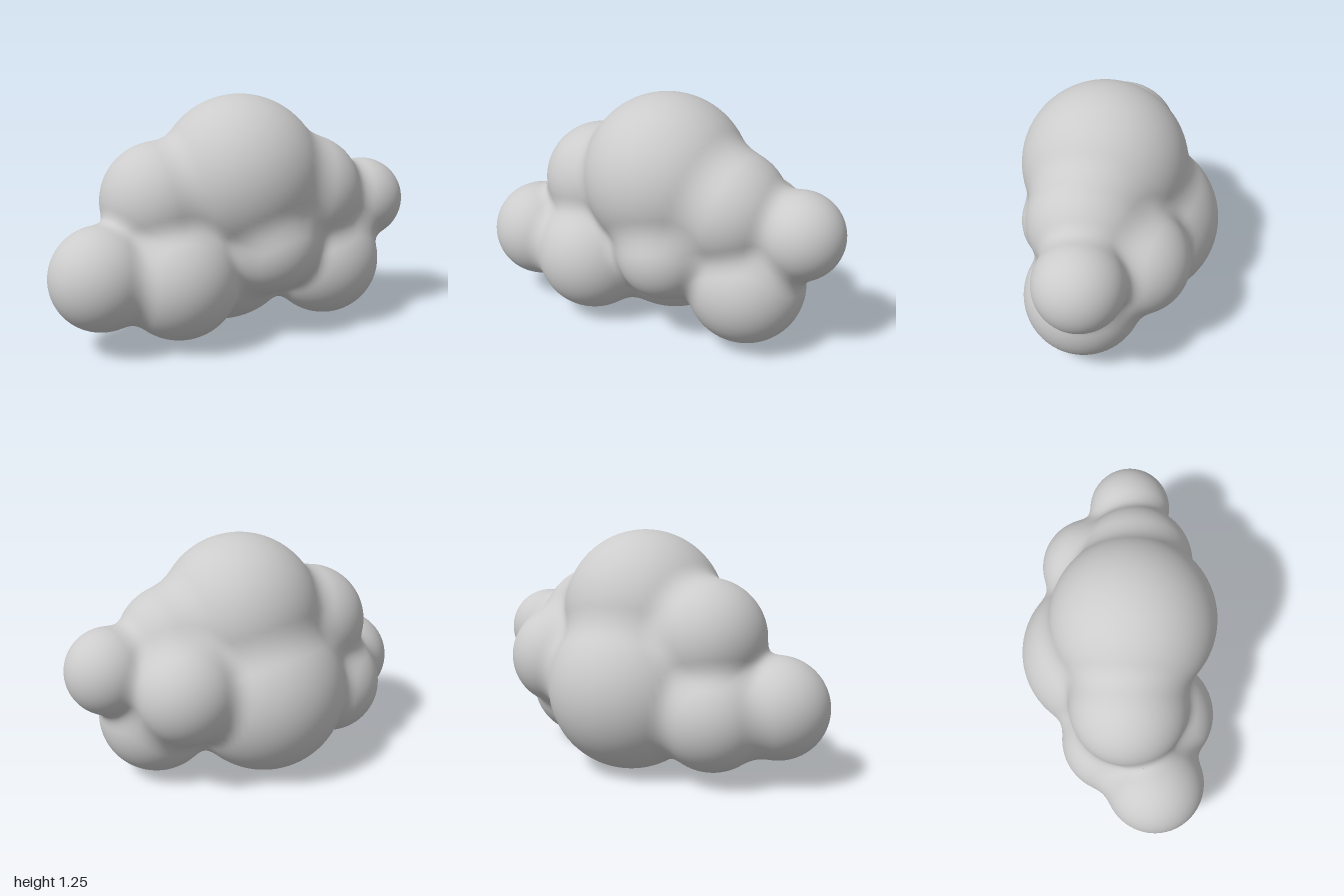
import * as THREE from 'three';

// Each puff of the cloud: name, centre x, y, z and radius
const PUFFS = [
  ['crownPuff', 0.03, 0.82, 0.07, 0.435],
  ['backPuff', -0.03, 0.44, -0.10, 0.44],
  ['rightShoulderPuff', -0.40, 0.72, 0.07, 0.31],
  ['leftShoulderPuff', 0.40, 0.72, 0.07, 0.31],
  ['rightTipPuff', -0.735, 0.387, 0.225, 0.265],
  ['leftTipPuff', 0.775, 0.648, 0.022, 0.225],
  ['rightFrontPuff', -0.345, 0.345, 0.23, 0.31],
  ['rightBackPuff', -0.50, 0.35, 0.0, 0.29],
  ['leftBackPuff', 0.44, 0.55, -0.18, 0.275],
  ['leftLowerPuff', 0.518, 0.335, 0.073, 0.308],
  ['frontPuff', 0.14, 0.49, 0.255, 0.25],
];
const BLEND = 0.08; // width of the soft fillet between puffs
const BURIED = -0.05; // vertices deeper than this stay hidden inside

// Signed distance to the softly merged puffs
function distance(x, y, z) {
  let d = Infinity;
  for (const [, cx, cy, cz, r] of PUFFS) {
    const s = Math.hypot(x - cx, y - cy, z - cz) - r;
    const h = Math.max(BLEND - Math.abs(d - s), 0);
    d = Math.min(d, s) - (h * h) / (4 * BLEND);
  }
  return d;
}

// Outward direction of the merged surface
function outward(p, target) {
  const e = 0.002;
  return target.set(
    distance(p.x + e, p.y, p.z) - distance(p.x - e, p.y, p.z),
    distance(p.x, p.y + e, p.z) - distance(p.x, p.y - e, p.z),
    distance(p.x, p.y, p.z + e) - distance(p.x, p.y, p.z - e),
  ).normalize();
}

// A sphere whose vertices near a seam are lifted onto the soft fillet
function puffGeometry(cx, cy, cz, r) {
  const geometry = new THREE.SphereGeometry(r, 80, 56).translate(cx, cy, cz);
  const { position, normal } = geometry.attributes;
  const p = new THREE.Vector3();
  const n = new THREE.Vector3();
  for (let i = 0; i < position.count; i++) {
    p.fromBufferAttribute(position, i);
    if (distance(p.x, p.y, p.z) < BURIED) continue;
    for (let step = 0; step < 4; step++) {
      outward(p, n);
      p.addScaledVector(n, -distance(p.x, p.y, p.z));
    }
    outward(p, n);
    position.setXYZ(i, p.x, p.y, p.z);
    normal.setXYZ(i, n.x, n.y, n.z);
  }
  return geometry;
}

export function createModel() {
  const cloud = new THREE.Group();
  cloud.name = 'cloud';
  const material = new THREE.MeshStandardMaterial({ color: 0xcccccc });
  for (const [name, ...sphere] of PUFFS) {
    const puff = new THREE.Mesh(puffGeometry(...sphere), material);
    puff.name = name;
    cloud.add(puff);
  }
  return cloud;
}
